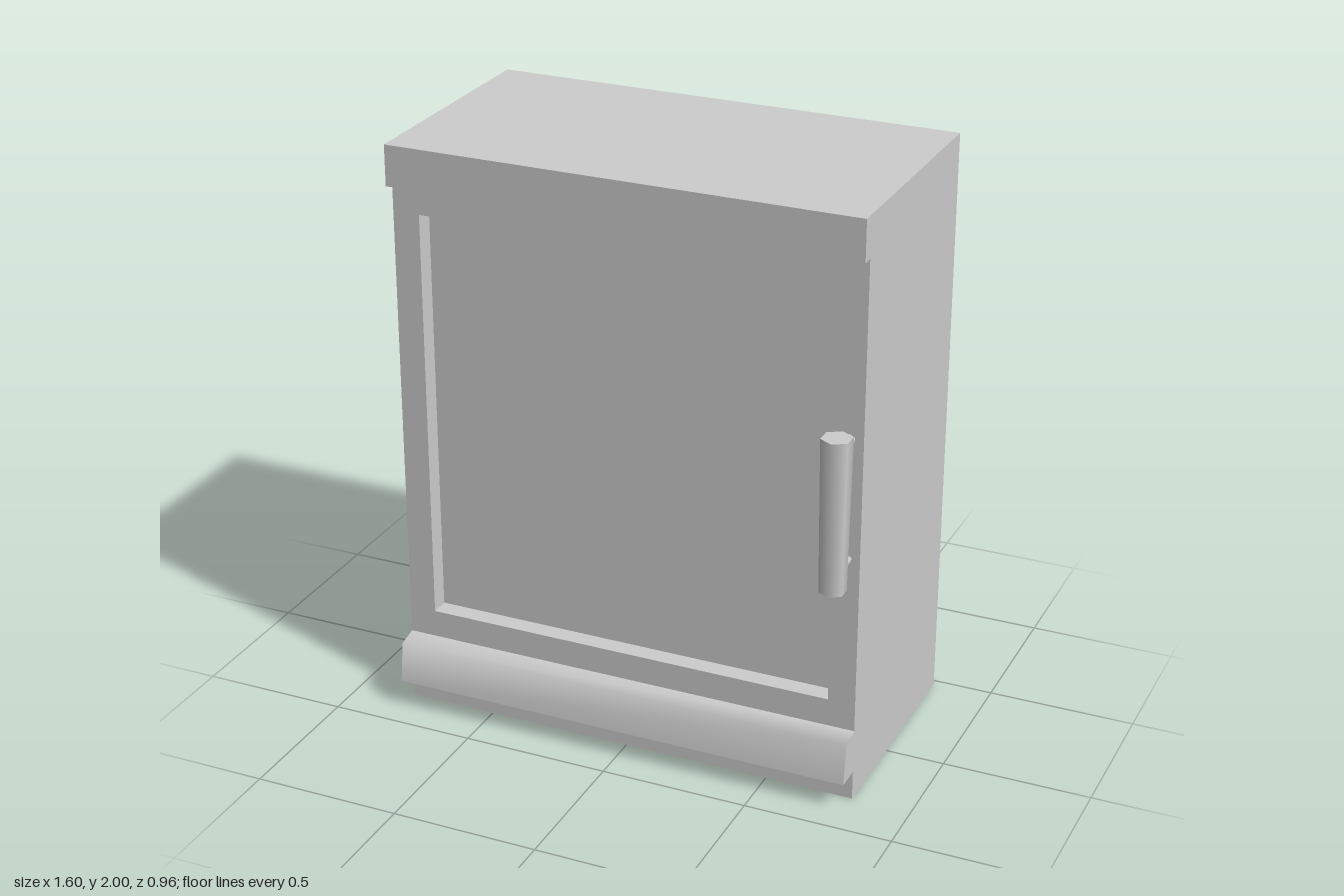
import * as THREE from 'three';

const W = 0.8, BACK = -0.48, FRONT = 0.32, GLASS = 0.255;
const WIN_X = 0.708, WIN_Y0 = 0.347, WIN_Y1 = 1.767;

export function createModel() {
  const model = new THREE.Group();
  model.name = 'wallCabinet';
  const grey = new THREE.MeshStandardMaterial({ color: 0xcccccc, side: THREE.DoubleSide });
  grey.name = 'plain grey';

  const add = (name, geometry, parent = model) => {
    const mesh = new THREE.Mesh(geometry, grey);
    mesh.name = name;
    parent.add(mesh);
    return mesh;
  };

  // Sheet through rows of [left, right] points, smooth from row to row
  const sheet = (name, rows, parent) => {
    const geometry = new THREE.BufferGeometry();
    geometry.setAttribute('position', new THREE.Float32BufferAttribute(rows.flat(2), 3));
    const index = [];
    for (let i = 0; i < rows.length - 1; i++) {
      const a = i * 2;
      index.push(a, a + 1, a + 3, a, a + 3, a + 2);
    }
    geometry.setIndex(index);
    geometry.computeVertexNormals();
    return add(name, geometry, parent);
  };

  // Full-width sheet following [z, y] points
  const across = (name, points) =>
    sheet(name, points.map(([z, y]) => [[-W, y, z], [W, y, z]]));

  const polygon = (points) => new THREE.Shape(points.map(([x, y]) => new THREE.Vector2(x, y)));

  // Cabinet section, [z, y], from the back bottom corner round the front
  const section = [
    [BACK, 0], [FRONT, 0], [FRONT, 0.1], [0.406, 0.1], [0.388, 0.237],
    [FRONT, 0.252], [FRONT, 1.862], [0.36, 1.862], [0.36, 2], [BACK, 2],
  ];

  // Side panels, with the ends of the lip and the top trim
  for (const side of [-1, 1]) {
    const panel = new THREE.ShapeGeometry(polygon(section.map(([z, y]) => [-side * z, y])));
    panel.rotateY(side * Math.PI / 2);
    panel.translate(side * W, 0, 0);
    add(side > 0 ? 'leftPanel' : 'rightPanel', panel);
  }

  // Full-width panels; the underside stays open
  across('plinth', section.slice(1, 3));
  across('lipUnderside', section.slice(2, 4));
  across('lip', section.slice(3, 6));
  across('topTrimUnderside', section.slice(6, 8));
  across('topTrim', section.slice(7, 9));
  across('topPanel', section.slice(8, 10));
  across('backPanel', [section[9], section[0]]);

  // Door frame with the window opening
  const corners = [[-WIN_X, WIN_Y0], [WIN_X, WIN_Y0], [WIN_X, WIN_Y1], [-WIN_X, WIN_Y1]];
  const frame = polygon([[-W, 0.252], [W, 0.252], [W, 1.862], [-W, 1.862]]);
  frame.holes.push(polygon(corners));
  add('doorFrame', new THREE.ShapeGeometry(frame)).position.z = FRONT;

  // Recessed window: four reveals and the pane
  const recess = new THREE.Group();
  recess.name = 'window';
  model.add(recess);
  corners.forEach((c, i) => {
    const n = corners[(i + 1) % 4];
    sheet('windowReveal', [[[...c, FRONT], [...n, FRONT]], [[...c, GLASS], [...n, GLASS]]], recess);
  });
  add('windowPane', new THREE.ShapeGeometry(polygon(corners)), recess).position.z = GLASS;

  // Slanted reflections on the pane: bottom left, bottom right, top right, top left
  for (const [a, b, c, d] of [[-0.09, 0.266, 0.52, 0.163], [0.298, 0.426, 0.68, 0.549]]) {
    const glint = polygon([[a, 0.905], [b, 0.905], [c, WIN_Y1], [d, WIN_Y1]]);
    add('paneReflection', new THREE.ShapeGeometry(glint), recess).position.z = GLASS + 0.003;
  }

  // Tapered six-sided handle on two short posts
  const handle = new THREE.Group();
  handle.name = 'handle';
  model.add(handle);
  add('grip', new THREE.CylinderGeometry(0.051, 0.044, 0.52, 6), handle).position.set(0.753, 1.06, 0.429);
  for (const y of [0.857, 1.266]) {
    const post = new THREE.CylinderGeometry(0.021, 0.021, 0.08, 6);
    post.rotateX(Math.PI / 2);
    add('handlePost', post, handle).position.set(0.753, y, 0.36);
  }

  return model;
}
